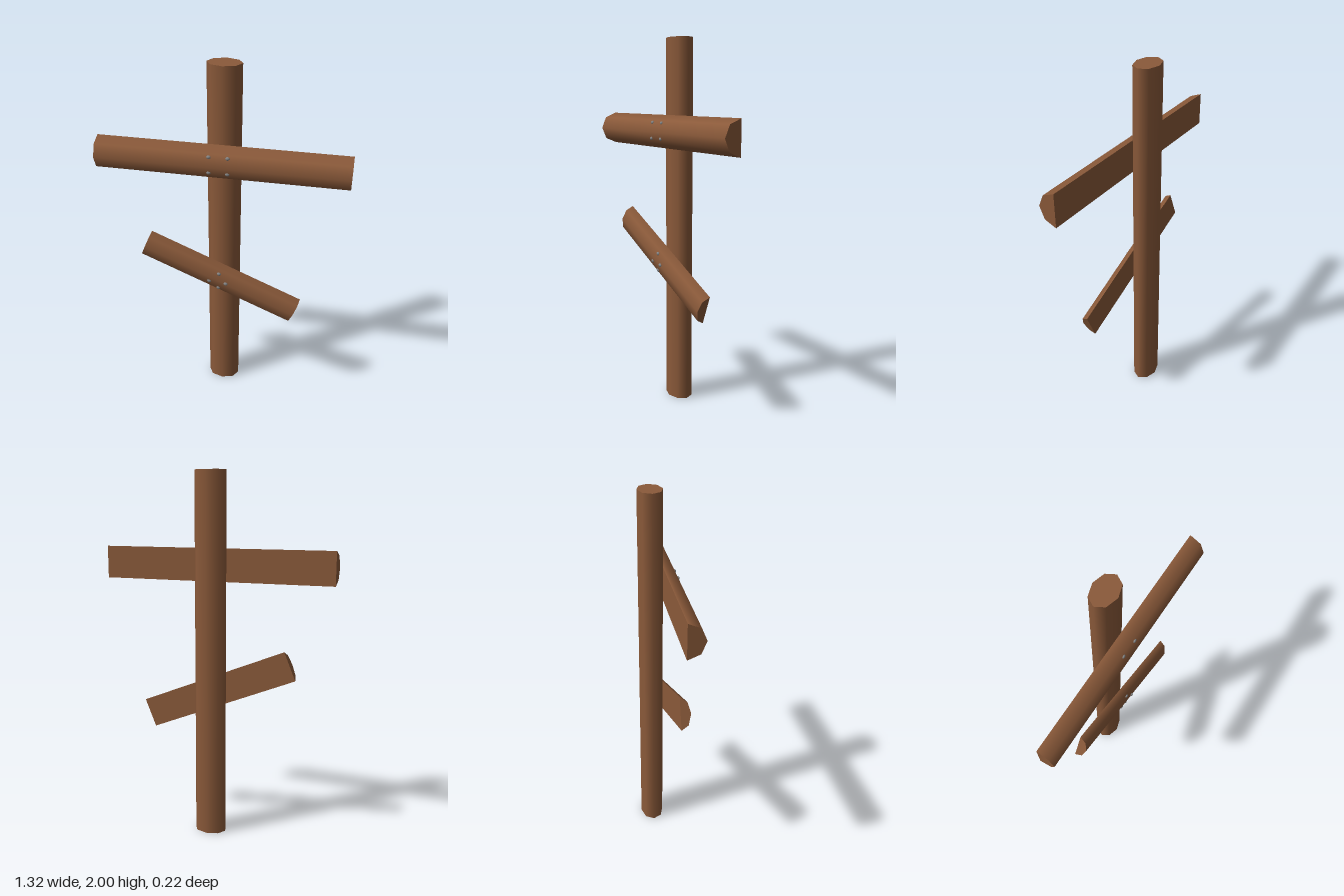
import * as THREE from 'three';

export function createModel() {
  const model = new THREE.Group();
  const wood = new THREE.MeshStandardMaterial({ color: 0x8b5a3a });
  wood.name = 'brown wood';
  const steel = new THREE.MeshStandardMaterial({ color: 0x858585 });
  steel.name = 'grey nail';

  const add = (parent, name, geometry, material) => {
    const mesh = new THREE.Mesh(geometry, material);
    mesh.name = name;
    parent.add(mesh);
    return mesh;
  };

  // Upright post: flattened eight-sided log
  const post = add(model, 'post', new THREE.CylinderGeometry(1, 1, 2, 8).scale(0.09, 1, 0.065), wood);
  post.position.set(0, 1, -0.045);

  // Split log with a rounded front, flat back and four nails at [x, y] from its centre
  function splitLog(name, length, halfHeight, depth, nails) {
    const log = new THREE.Group();
    log.name = name;
    const front = new THREE.CylinderGeometry(1, 1, length, 4, 1, false, -Math.PI / 2, Math.PI)
      .scale(halfHeight, 1, depth).rotateZ(Math.PI / 2);
    add(log, name + 'Front', front, wood);
    add(log, name + 'Back', new THREE.PlaneGeometry(length, halfHeight * 2).rotateY(Math.PI), wood);

    for (const [x, y] of nails) {
      // Height of the faceted front at y, so the nail head sits just proud of it
      const t = Math.abs(y) / halfHeight;
      const k = Math.SQRT1_2;
      const z = depth * (t < k ? 1 - t * (1 - k) / k : (1 - t) * k / (1 - k));
      const nail = add(log, 'nail', new THREE.SphereGeometry(0.012, 8, 6), steel);
      nail.scale.set(1, 0.8, 0.6);
      nail.position.set(x, y, z);
    }
    model.add(log);
    return log;
  }

  // Level upper beam
  splitLog('upperBeam', 1.32, 0.09, 0.09, [[-0.055, 0.05], [0.042, 0.05], [-0.055, -0.034], [0.042, -0.034]])
    .position.set(0, 1.505, 0.02);

  // Slanted lower beam
  const lower = splitLog('lowerBeam', 0.91, 0.084, 0.054, [[-0.018, 0.039], [-0.05, -0.029], [0.04, 0.003], [0.014, -0.05]]);
  lower.position.set(-0.003, 0.798, 0.043);
  lower.rotation.z = -0.394;

  return model;
}
